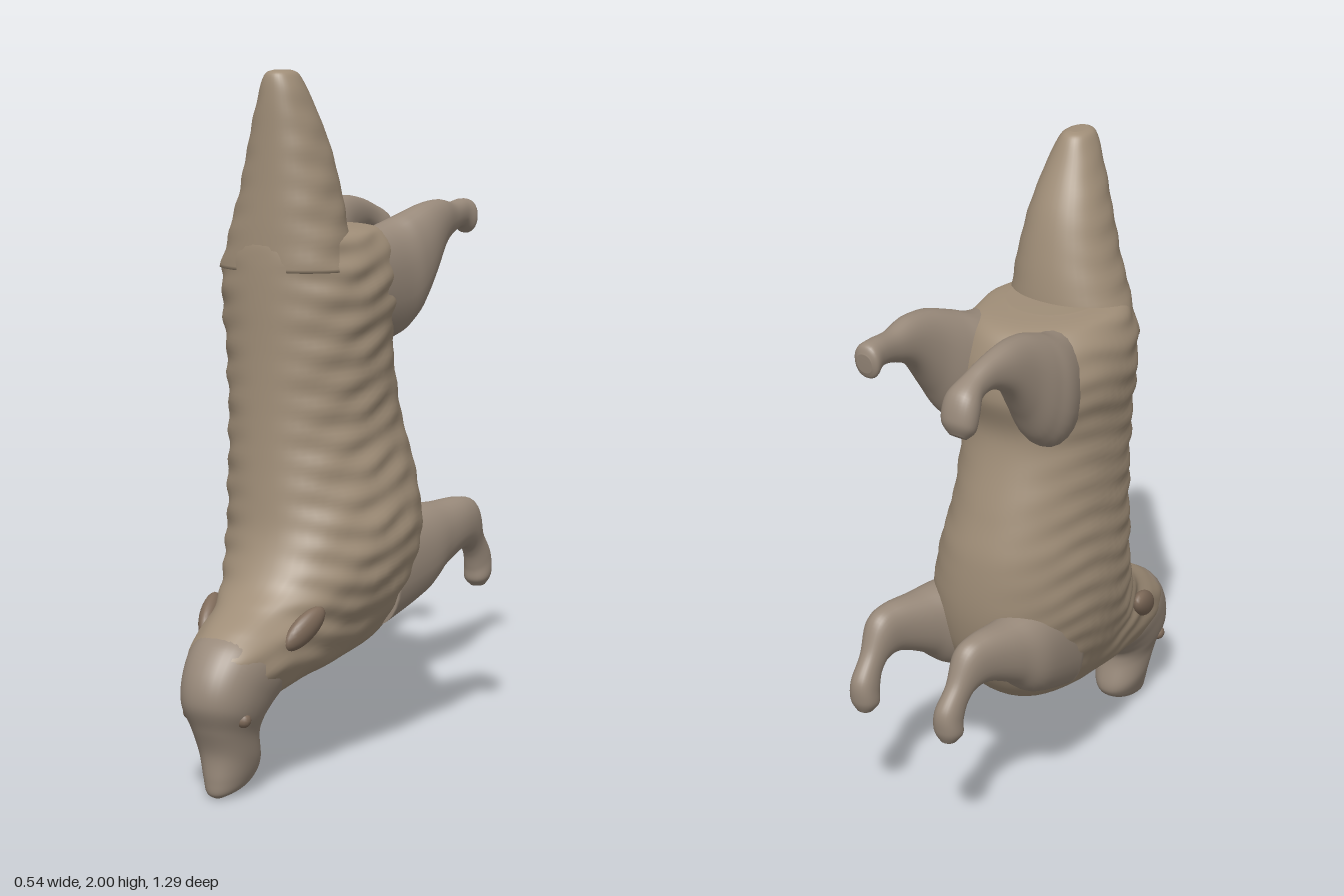
import * as THREE from 'three';

// Smooth curve through four neighbouring values
function spline(a, b, c, d, t) {
  return 0.5 * (2 * b + (c - a) * t + (2 * a - 5 * b + 4 * c - d) * t * t + (3 * b - a - 3 * c + d) * t * t * t);
}

// Skin over rings in the side plane: [z1, y1, z2, y2, halfWidth, centreX]
function loft(rings, { steps = 8, sides = 40, power = 2.2, wool = 0 } = {}) {
  const pos = [], index = [], n = rings.length, rows = (n - 1) * steps + 1;
  const at = i => rings[Math.max(0, Math.min(n - 1, i))];
  const round = v => Math.sign(v) * Math.pow(Math.abs(v), 2 / power);
  for (let r = 0; r < rows; r++) {
    const k = Math.min(n - 2, Math.floor(r / steps)), t = r / steps - k;
    const [z1, y1, z2, y2, w, cx] = at(k).map((_, q) => spline(at(k - 1)[q], at(k)[q], at(k + 1)[q], at(k + 2)[q], t));
    for (let s = 0; s < sides; s++) {
      const a = s / sides * Math.PI * 2, c = round(Math.cos(a)), d = round(Math.sin(a));
      let y = (y1 + y2) / 2 + c * (y1 - y2) / 2;
      const z = (z1 + z2) / 2 + c * (z1 - z2) / 2;
      // Woolly ridges run along the flanks and fade on the belly
      const bump = wool * Math.min(1, w * 5) * (0.6 + 0.4 * Math.cos(a)) *
        (Math.sin(y * 78 + 2 * Math.sin(z * 13)) + 0.6 * Math.sin(y * 41 + z * 37 + Math.sign(d) * 1.3));
      pos.push(cx + d * (w + bump), y, z);
    }
  }
  for (let r = 0; r < rows - 1; r++) for (let s = 0; s < sides; s++) {
    const a = r * sides + s, b = r * sides + (s + 1) % sides;
    index.push(a, a + sides, b, b, a + sides, b + sides);
  }
  // Close both ends
  for (const end of [0, rows - 1]) {
    const [z1, y1, z2, y2, , cx] = at(end ? n - 1 : 0), centre = pos.length / 3;
    pos.push(cx, (y1 + y2) / 2, (z1 + z2) / 2);
    for (let s = 0; s < sides; s++) {
      const a = end * sides + s, b = end * sides + (s + 1) % sides;
      if (end) index.push(centre, b, a); else index.push(centre, a, b);
    }
  }
  const g = new THREE.BufferGeometry();
  g.setAttribute('position', new THREE.Float32BufferAttribute(pos, 3));
  g.setIndex(index);
  g.computeVertexNormals();
  return g;
}

export function createModel() {
  const group = new THREE.Group();
  const paint = color => new THREE.MeshStandardMaterial({ color });
  const fleece = paint(0xa08e78), skin = paint(0x98897a), dark = paint(0x7f6b5a);
  const add = (name, geometry, material) => {
    const m = new THREE.Mesh(geometry, material);
    m.name = name;
    group.add(m);
    return m;
  };

  // Tail: broad and tapering, pointing straight up
  add('tail', loft([
    [0.23, 2.0, 0.16, 2.0, 0.02, 0],
    [0.25, 1.985, 0.135, 1.985, 0.045, 0],
    [0.258, 1.92, 0.10, 1.92, 0.072, 0],
    [0.26, 1.8, 0.04, 1.8, 0.11, -0.005],
    [0.262, 1.68, 0.005, 1.68, 0.14, -0.01],
    [0.265, 1.56, -0.015, 1.56, 0.17, -0.02],
    [0.265, 1.44, -0.02, 1.44, 0.2, -0.03],
  ], { wool: 0.004 }), fleece);

  // Trunk: rump, back, chest and neck
  add('body', loft([
    [0.24, 1.55, -0.10, 1.555, 0.13, -0.02],
    [0.262, 1.53, -0.22, 1.54, 0.19, -0.025],
    [0.268, 1.47, -0.27, 1.47, 0.225, -0.03],
    [0.268, 1.37, -0.29, 1.36, 0.237, -0.03],
    [0.265, 1.2, -0.255, 1.22, 0.222, -0.025],
    [0.268, 1.0, -0.31, 1.0, 0.222, -0.022],
    [0.28, 0.82, -0.345, 0.85, 0.242, -0.008],
    [0.30, 0.69, -0.345, 0.66, 0.257, 0.01],
    [0.355, 0.58, -0.29, 0.48, 0.235, 0.015],
    [0.43, 0.52, -0.17, 0.345, 0.19, 0.012],
    [0.53, 0.465, 0.03, 0.295, 0.16, 0.01],
    [0.60, 0.405, 0.22, 0.275, 0.135, 0.01],
    [0.61, 0.34, 0.34, 0.25, 0.1, 0.01],
  ], { wool: 0.006, sides: 56, steps: 12 }), fleece);

  // Head: rounded crown, muzzle hanging down
  add('head', loft([
    [0.50, 0.475, 0.30, 0.34, 0.11, 0.01],
    [0.575, 0.435, 0.31, 0.275, 0.128, 0.01],
    [0.63, 0.36, 0.36, 0.235, 0.118, 0.01],
    [0.645, 0.28, 0.395, 0.205, 0.105, 0.01],
    [0.615, 0.205, 0.40, 0.165, 0.085, 0.01],
    [0.585, 0.13, 0.385, 0.09, 0.075, 0.01],
    [0.582, 0.055, 0.395, 0.055, 0.06, 0.012],
    [0.578, 0.015, 0.43, 0.03, 0.045, 0.012],
    [0.56, 0.001, 0.48, 0.015, 0.02, 0.012],
  ]), skin);

  for (const side of [1, -1]) {
    const label = side > 0 ? 'left' : 'right';

    // Ear lying flat along the neck
    const ear = add(label + 'Ear', new THREE.SphereGeometry(1, 20, 14), dark);
    ear.scale.set(0.028, 0.04, 0.085);
    ear.position.set(0.01 + side * 0.158, 0.46, 0.345);
    ear.rotation.set(0.6, side * -0.25, 0);

    // Eye ridge
    const eye = add(label + 'Eye', new THREE.SphereGeometry(0.022, 14, 10), dark);
    eye.position.set(0.01 + side * 0.088, 0.235, 0.55);

    // Foreleg: deep upper arm, bent wrist and small paw
    const f = side > 0 ? [0.14, 0.165, 0.19, 0.215, 0.222, 0.222, 0.22]
      : [-0.12, -0.12, -0.11, -0.095, -0.085, -0.08, -0.075];
    add(label + 'Foreleg', loft([
      [-0.08, 0.38, -0.08, 0.70, 0.09, f[0]],
      [-0.25, 0.44, -0.25, 0.715, 0.095, f[1]],
      [-0.33, 0.505, -0.35, 0.712, 0.075, f[2]],
      [-0.42, 0.55, -0.45, 0.713, 0.055, f[3]],
      [-0.48, 0.55, -0.515, 0.69, 0.045, f[4]],
      [-0.51, 0.52, -0.56, 0.60, 0.034, f[5]],
      [-0.525, 0.475, -0.61, 0.53, 0.038, f[6]],
      [-0.53, 0.44, -0.612, 0.465, 0.04, f[6]],
      [-0.55, 0.42, -0.595, 0.425, 0.022, f[6]],
    ], { sides: 28 }), skin);

    // Hind leg: heavy thigh thinning to the hock; the two paws hang differently
    const x = side * 0.155;
    const paw = side > 0 ? [
      [-0.55, 1.515, -0.56, 1.60, 0.034, x],
      [-0.59, 1.495, -0.60, 1.595, 0.04, x],
      [-0.605, 1.515, -0.612, 1.57, 0.025, x],
    ] : [
      [-0.54, 1.49, -0.55, 1.575, 0.036, x],
      [-0.565, 1.455, -0.62, 1.54, 0.052, x],
      [-0.58, 1.42, -0.645, 1.47, 0.05, x],
      [-0.60, 1.402, -0.632, 1.425, 0.025, x],
    ];
    add(label + 'HindLeg', loft([
      [-0.04, 1.22, -0.04, 1.53, 0.09, side * 0.11],
      [-0.19, 1.215, -0.17, 1.55, 0.095, side * 0.13 - 0.02],
      [-0.27, 1.265, -0.24, 1.575, 0.082, side * 0.145 - 0.01],
      [-0.33, 1.36, -0.32, 1.60, 0.065, side * 0.155],
      [-0.40, 1.455, -0.41, 1.608, 0.048, side * 0.16],
      [-0.48, 1.50, -0.49, 1.595, 0.036, side * 0.158],
      ...paw,
    ], { sides: 28 }), skin);
  }
  return group;
}
